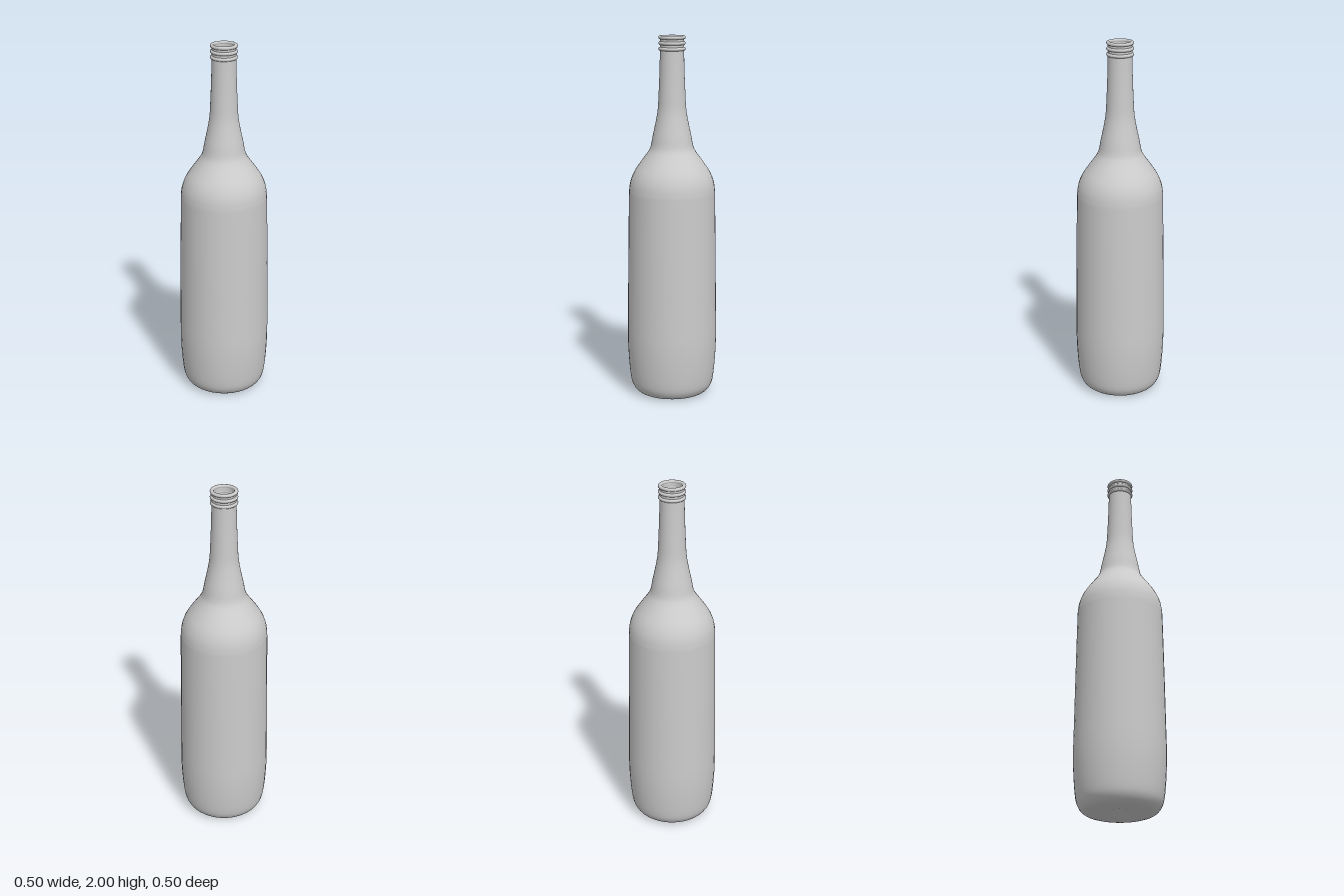
import * as THREE from 'three';

const SEGMENTS = 40;
const glass = new THREE.MeshStandardMaterial({ color: 0xcccccc, side: THREE.DoubleSide });
const toPoints = (list) => list.map(([r, y]) => new THREE.Vector2(r, y));

function addLathe(group, name, points) {
  const mesh = new THREE.Mesh(new THREE.LatheGeometry(points, SEGMENTS), glass);
  mesh.name = name;
  group.add(mesh);
}

export function createModel() {
  const bottle = new THREE.Group();
  bottle.name = 'bottle';

  // Outer wall: rounded heel, slightly tapered body, shoulder and long neck
  const outer = new THREE.SplineCurve(toPoints([
    [0.165, 0], [0.195, 0.01], [0.218, 0.035], [0.233, 0.08], [0.244, 0.19],
    [0.249, 0.32], [0.247, 0.5], [0.243, 0.8], [0.238, 1.1], [0.236, 1.16],
    [0.228, 1.21], [0.208, 1.26], [0.175, 1.31], [0.135, 1.365], [0.117, 1.4],
    [0.105, 1.46], [0.09, 1.53], [0.078, 1.6], [0.073, 1.68], [0.068, 1.8], [0.065, 1.92], [0.065, 1.99],
  ]));
  addLathe(bottle, 'outerWall', outer.getPoints(70));

  // Inner wall, running from the mouth down to a flat floor
  const inner = new THREE.SplineCurve(toPoints([
    [0.055, 1.99], [0.055, 1.8], [0.06, 1.62], [0.09, 1.45], [0.118, 1.36],
    [0.19, 1.26], [0.22, 1.15], [0.23, 0.4], [0.222, 0.12], [0.19, 0.04],
  ]));
  addLathe(bottle, 'innerWall', inner.getPoints(40));
  addLathe(bottle, 'innerFloor', toPoints([[0.19, 0.04], [0, 0.04]]));

  // Flat underside with a shallow conical dimple
  addLathe(bottle, 'base', toPoints([[0.08, 0.002], [0.165, 0]]));
  addLathe(bottle, 'baseDimple', toPoints([[0, 0.015], [0.08, 0.002]]));

  // Rounded lip and the two thread rings below it
  [['lip', 1.99], ['upperThread', 1.96], ['lowerThread', 1.929]].forEach(([name, y]) => {
    const ring = new THREE.Mesh(new THREE.TorusGeometry(0.0635, 0.0098, 12, SEGMENTS), glass);
    ring.name = name;
    ring.rotation.x = Math.PI / 2;
    ring.position.y = y;
    bottle.add(ring);
  });

  return bottle;
}
